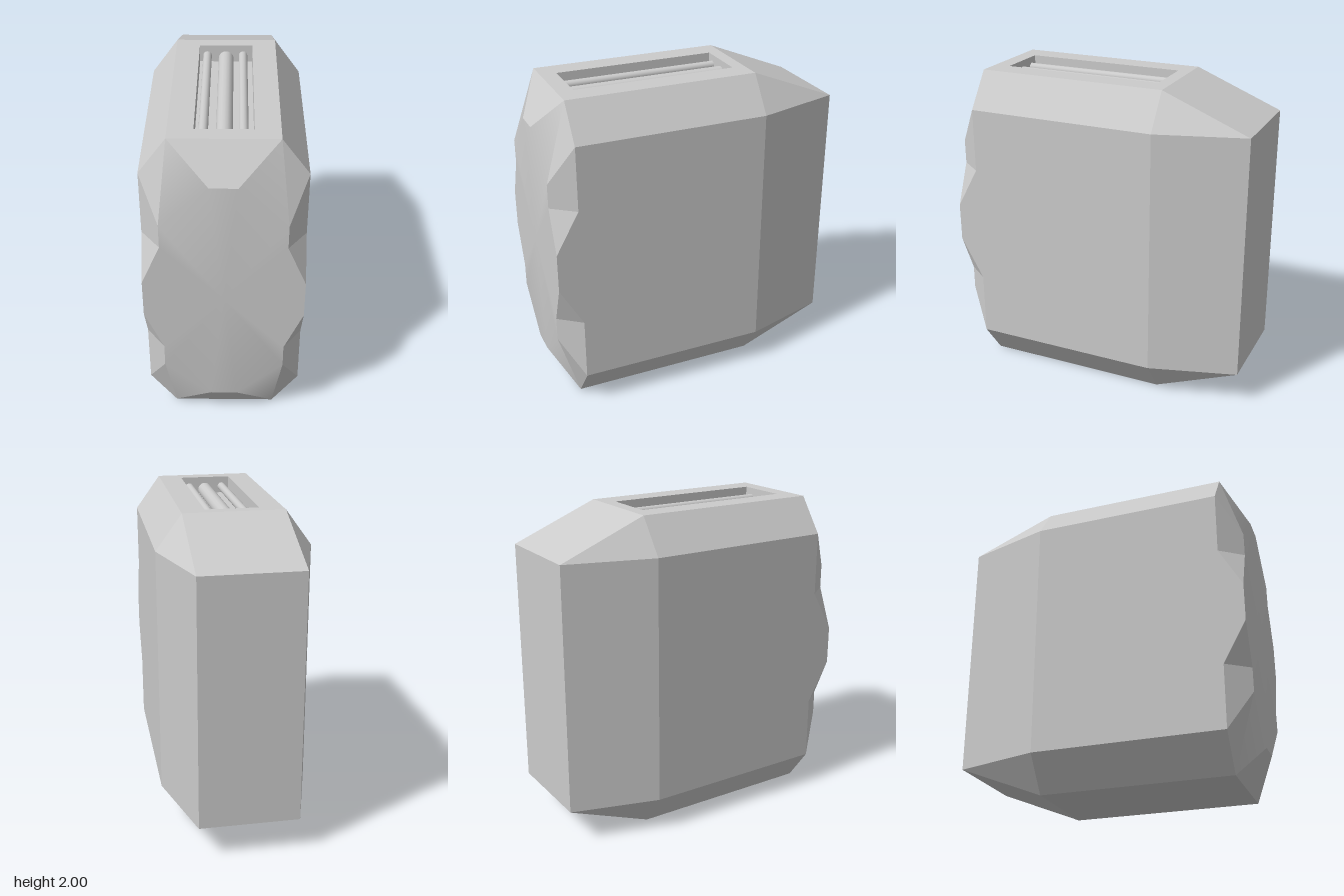
import * as THREE from 'three';

const W = 0.47, N = 0.31, H = 0.78, F = 0.945, S = 0.8, B = -0.4; // half widths, chamfer height, front, shoulder, rear taper

// Flat facets (convex, heights measured from mid-height) turned away from the middle, or towards it when inward
function facets(polys, name, material, inward = false, centre = [0, 0, 0]) {
  const pos = [], c = new THREE.Vector3(...centre);
  for (const poly of polys) {
    const p = poly.map((a) => new THREE.Vector3(...a));
    const mid = p.reduce((s, v) => s.add(v), new THREE.Vector3()).divideScalar(p.length).sub(c);
    const n = p[1].clone().sub(p[0]).cross(p[2].clone().sub(p[0]));
    if ((n.dot(mid) < 0) !== inward) p.reverse();
    for (let i = 1; i < p.length - 1; i++)
      for (const v of [p[0], p[i], p[i + 1]]) pos.push(v.x, v.y + 1, v.z);
  }
  const g = new THREE.BufferGeometry();
  g.setAttribute('position', new THREE.Float32BufferAttribute(pos, 3));
  g.computeVertexNormals();
  const mesh = new THREE.Mesh(g, material);
  mesh.name = name;
  return mesh;
}

// Copies of facets reflected by the given sign pairs
const mirror = (polys, signs) =>
  signs.flatMap(([sx, sy]) => polys.map((q) => q.map(([x, y, z]) => [sx * x, sy * y, z])));
const sides = [[1, 1], [-1, 1]], ends = [[1, 1], [1, -1]];
const corners = [[1, 1], [-1, 1], [1, -1], [-1, -1]];

export function createModel() {
  const group = new THREE.Group();
  const mat = new THREE.MeshStandardMaterial({ color: 0xcccccc });

  // Octagonal shell with a tapered rear
  group.add(facets([
    ...mirror([
      [[W, H, S], [W, -H, S], [W, -H, B], [W, H, B]],
      [[W, 0.38, S], [W, 0.12, F], [W, -0.12, F], [W, -0.38, S]],
      [[W, H, B], [W, -H, B], [N, -H, -F], [N, H, -F]],
    ], sides),
    ...mirror([
      [[W, H, S], [N, 1, S], [N, 1, B], [W, H, B]],
      [[N, 1, B], [W, H, B], [N, H, -F]],
    ], corners),
    ...mirror([[[N, 1, B], [-N, 1, B], [-N, H, -F], [N, H, -F]]], ends),
    [[N, H, -F], [-N, H, -F], [-N, -H, -F], [N, -H, -F]],
    [[N, -1, S], [-N, -1, S], [-N, -1, B], [N, -1, B]],
  ], 'shell', mat));

  // Cut facets around the front
  group.add(facets([
    ...mirror([[[N, 1, S], [-N, 1, S], [-0.08, H, F], [0.08, H, F]]], ends),
    ...mirror([
      [[W, H, S], [0.36, 0.53, F], [0.36, 0.38, F], [W, 0.38, S]],
      [[0.36, 0.38, F], [W, 0.12, F], [W, 0.38, S]],
      [[N, 1, S], [W, H, S], [0.36, 0.53, F]],
    ], corners),
  ], 'frontBevels', mat));

  // Front face, softly shaded into its four corner facets
  const quarter = [[W, 0.12], [0.36, 0.38], [0.36, 0.53], [0.08, H]];
  const flip = (a, sx, sy) => a.map(([x, y]) => [sx * x, sy * y]);
  const rim = [
    ...quarter, ...flip(quarter, -1, 1).reverse(),
    ...flip(quarter, -1, -1), ...flip(quarter, 1, -1).reverse(),
  ];
  const pts = [[0, 0, F], ...rim.map(([x, y]) => [x, y, F]), [N, 1, S], [-N, 1, S], [-N, -1, S], [N, -1, S]];
  const index = [];
  for (let i = 0; i < 16; i++) index.push(0, i + 1, ((i + 1) % 16) + 1);
  [3, 5, 11, 13].forEach((i, k) => index.push(i, 17 + k, i + 1));
  const face = new THREE.BufferGeometry();
  face.setAttribute('position', new THREE.Float32BufferAttribute(pts.flat(), 3));
  face.setIndex(index);
  face.computeVertexNormals();
  const front = new THREE.Mesh(face, mat);
  front.name = 'frontFace';
  front.position.y = 1;
  group.add(front);

  // Top panel with a long slot
  const sw = 0.165, z0 = -0.32, z1 = 0.7, floor = 0.89;
  const rect = (T, w, a, b) => new T([[-w, -b], [w, -b], [w, -a], [-w, -a]].map((p) => new THREE.Vector2(...p)));
  const panel = rect(THREE.Shape, N, B, S);
  panel.holes.push(rect(THREE.Path, sw, z0, z1));
  const top = new THREE.Mesh(new THREE.ShapeGeometry(panel).rotateX(-Math.PI / 2), mat);
  top.name = 'topPanel';
  top.position.y = 2;
  group.add(top);

  // Slot walls and floor
  group.add(facets([
    ...mirror([[[sw, 1, z0], [sw, 1, z1], [sw, floor, z1], [sw, floor, z0]]], sides),
    ...[z0, z1].map((z) => [[-sw, 1, z], [sw, 1, z], [sw, floor, z], [-sw, floor, z]]),
    [[-sw, floor, z0], [sw, floor, z0], [sw, floor, z1], [-sw, floor, z1]],
  ], 'slot', mat, true, [0, 0.95, 0.19]));

  // Round bars lying in the slot
  for (const [x, r] of [[-0.117, 0.027], [0, 0.047], [0.107, 0.027]]) {
    const bar = new THREE.Mesh(new THREE.CylinderGeometry(r, r, z1 - z0, 16).rotateX(Math.PI / 2), mat);
    bar.name = 'slotBar';
    bar.position.set(x, 1.96 - r, (z0 + z1) / 2);
    group.add(bar);
  }
  return group;
}
